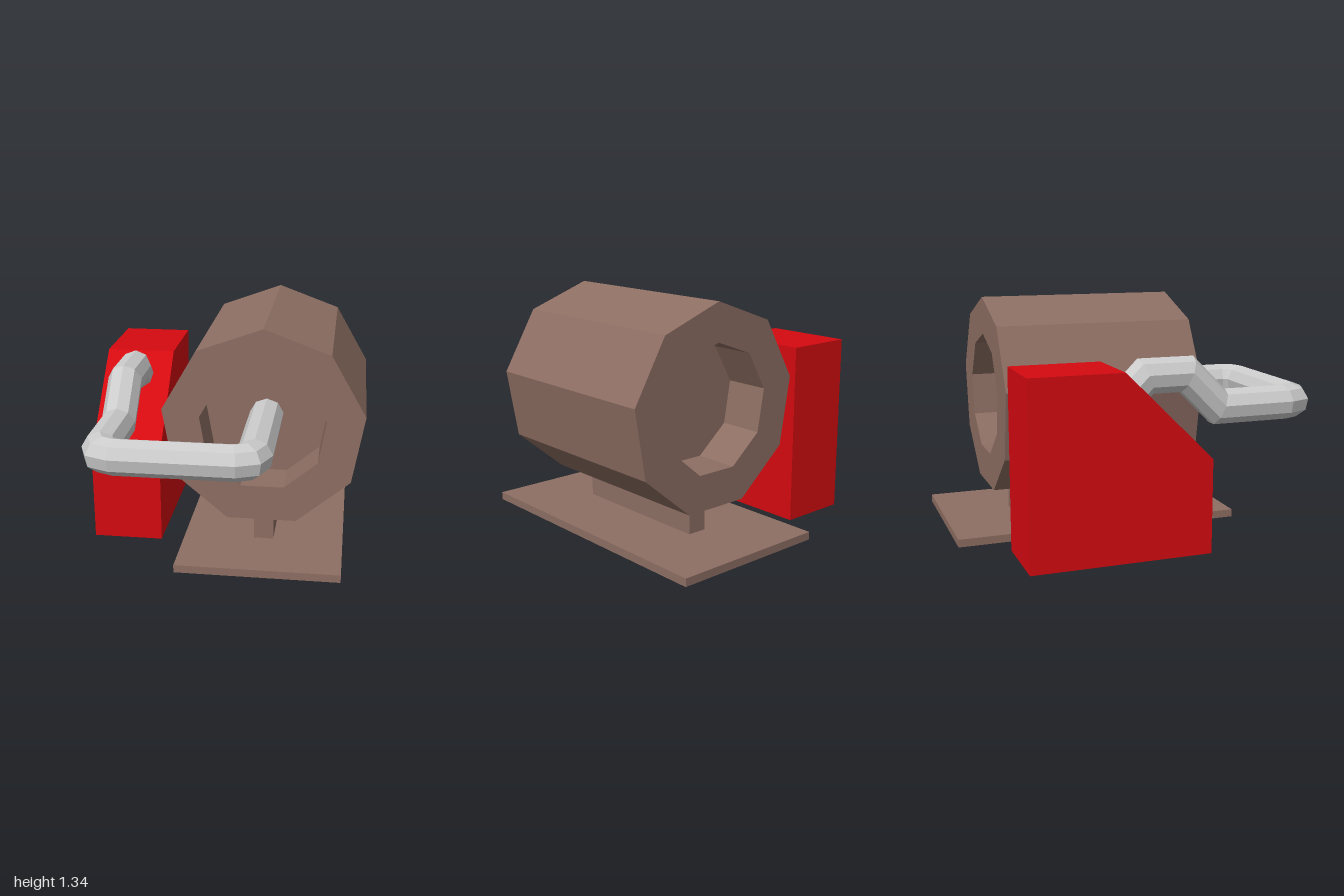
import * as THREE from 'three';

const material = (color, side = THREE.FrontSide) =>
  new THREE.MeshStandardMaterial({ color, side, flatShading: true });

const BROWN = 0x8d6e63, RED = 0xd50a10, GREY = 0xcccccc;

function part(name, geometry, mat, x = 0, y = 0, z = 0) {
  const mesh = new THREE.Mesh(geometry, mat);
  mesh.name = name;
  mesh.position.set(x, y, z);
  return mesh;
}

// Sweeps a polygon (one corner up) along a path that starts towards +z, mitred at each bend
function miteredPipe(points, radius, sides) {
  const last = points.length - 1;
  const dirs = points.slice(1).map((p, i) => p.clone().sub(points[i]).normalize());
  const rings = [[]];
  for (let j = 0; j < sides; j++) {
    const a = Math.PI / 2 + (j / sides) * Math.PI * 2;
    rings[0].push(new THREE.Vector3(Math.cos(a), Math.sin(a), 0).multiplyScalar(radius).add(points[0]));
  }
  for (let i = 1; i <= last; i++) {
    const d = dirs[i - 1];
    const n = d.clone().add(dirs[Math.min(i, last - 1)]).normalize();
    rings.push(rings[i - 1].map((v) => {
      const t = points[i].clone().sub(v).dot(n) / d.dot(n);
      return v.clone().addScaledVector(d, t);
    }));
  }
  const corners = [];
  for (let i = 0; i < last; i++) {
    for (let j = 0; j < sides; j++) {
      const k = (j + 1) % sides;
      const [a, b, c, d] = [rings[i][j], rings[i][k], rings[i + 1][k], rings[i + 1][j]];
      corners.push(a, b, c, a, c, d);
    }
  }
  const geometry = new THREE.BufferGeometry().setFromPoints(corners);
  geometry.computeVertexNormals();
  return geometry;
}

export function createModel() {
  const model = new THREE.Group();
  const brown = material(BROWN);
  const drumX = 0.225, drumY = 0.77;

  // Nine-sided drum with a recess in both ends
  const half = 0.575, floor = 0.315, rim = 0.574, bore = 0.359;
  const profile = [
    [0, -floor], [bore, -floor], [bore, -half], [rim, -half],
    [rim, half], [bore, half], [bore, floor], [0, floor],
  ].map(([r, y]) => new THREE.Vector2(r, y));
  const drum = new THREE.LatheGeometry(profile, 9, Math.PI).rotateX(Math.PI / 2);
  model.add(part('drum', drum, brown, drumX, drumY, -0.16));

  // Base plate with a slot below the hollow post
  const plateShape = new THREE.Shape([[-0.24, -0.68], [0.69, -0.68], [0.69, 1], [-0.24, 1]]
    .map(([x, y]) => new THREE.Vector2(x, y)));
  plateShape.holes.push(new THREE.Path([[0.17, -0.285], [0.17, 0.59], [0.285, 0.59], [0.285, -0.285]]
    .map(([x, y]) => new THREE.Vector2(x, y))));
  const plate = new THREE.ExtrudeGeometry(plateShape, { depth: 0.045, bevelEnabled: false })
    .rotateX(-Math.PI / 2);
  model.add(part('basePlate', plate, brown));

  // Hollow rectangular post, open at both ends
  const post = new THREE.CylinderGeometry(Math.SQRT1_2, Math.SQRT1_2, 1, 4, 1, true)
    .rotateY(Math.PI / 4).scale(0.115, 0.187, 0.875);
  model.add(part('post', post, material(BROWN, THREE.DoubleSide), 0.2275, 0.1385, -0.1525));

  // Red block with a sloping front top, drawn in side profile
  const side = new THREE.Shape([[-0.285, 0], [0.735, 0], [0.735, 1.025], [0.215, 1.025], [-0.285, 0.53]]
    .map(([x, y]) => new THREE.Vector2(x, y)));
  const block = new THREE.ExtrudeGeometry(side, { depth: 0.405, bevelEnabled: false })
    .rotateY(Math.PI / 2);
  model.add(part('block', block, material(RED), -0.79, 0, 0));

  // Pipe from the drum recess round to the sloping face of the block
  const y = 0.772, top = 0.965, bend = 0.097, left = -0.588, frontZ = 0.803;
  const path = [[drumX, y, 0.1]];
  const corner = (cx, start) => {
    for (let i = 0; i < 3; i++) {
      const a = start + (i * Math.PI) / 4;
      path.push([cx + bend * Math.cos(a), y, frontZ + bend * Math.sin(a)]);
    }
  };
  corner(drumX - bend, 0);
  corner(left + bend, Math.PI / 2);
  path.push([left, y, 0.4], [left, top, 0.207], [left, top, -0.035], [left, top - 0.2, -0.235]);
  const pipe = miteredPipe(path.map((p) => new THREE.Vector3(...p)), 0.098, 9);
  model.add(part('pipe', pipe, material(GREY)));

  return model;
}
